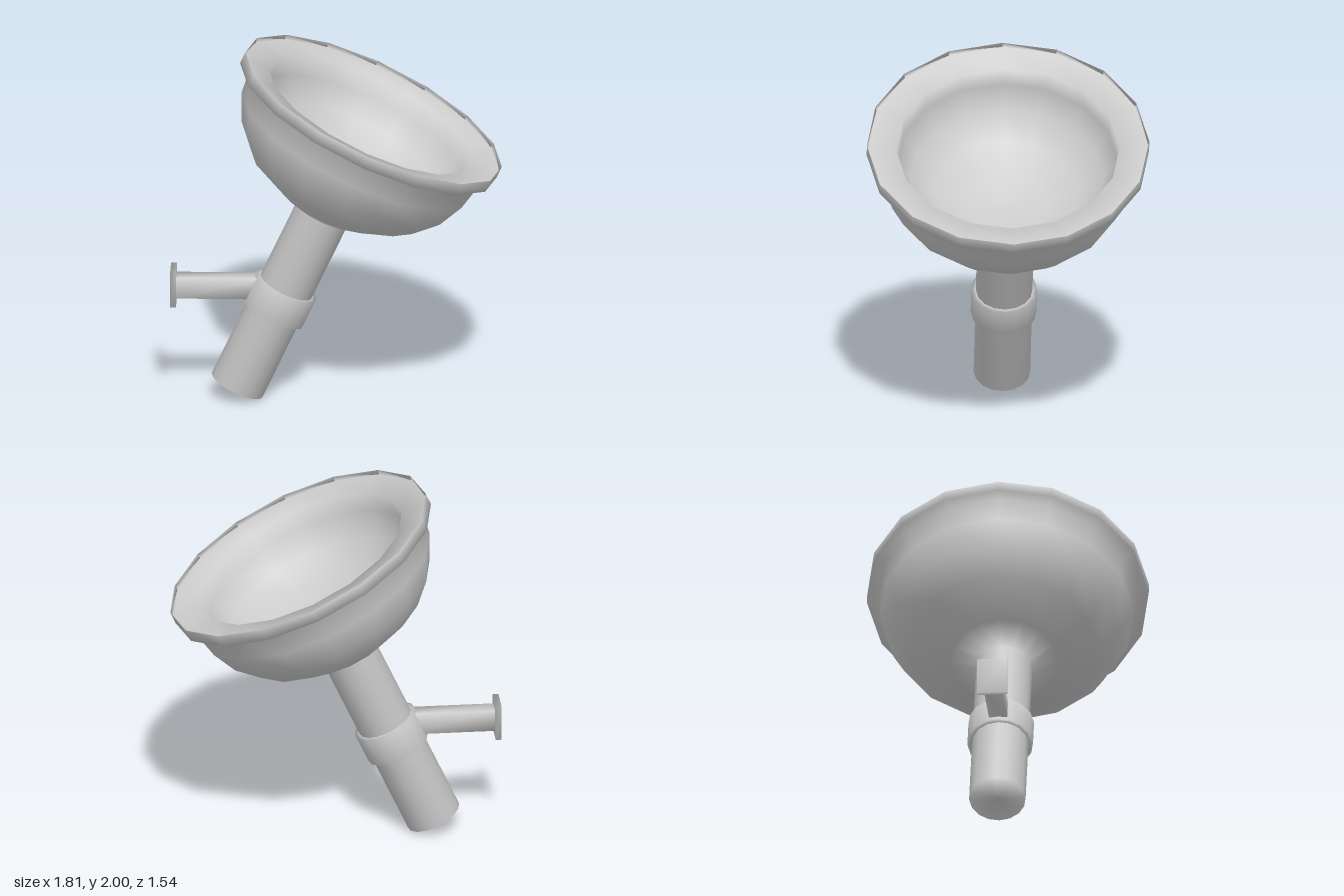
import * as THREE from 'three';
import { mergeVertices } from 'three/addons/utils/BufferGeometryUtils.js';

const material = new THREE.MeshStandardMaterial({ color: 0xcccccc, side: THREE.DoubleSide });

function addMesh(parent, name, geometry) {
  const mesh = new THREE.Mesh(geometry, material);
  mesh.name = name;
  parent.add(mesh);
  return mesh;
}

// Smooth solid of revolution from [radius, height] pairs
function lathe(profile) {
  return new THREE.LatheGeometry(profile.map(([r, h]) => new THREE.Vector2(r, h)), 16);
}

// Box whose corners share their normals, so it shades softly
function softBox(width, height, depth) {
  const box = new THREE.BoxGeometry(width, height, depth);
  box.deleteAttribute('normal');
  box.deleteAttribute('uv');
  const soft = mergeVertices(box);
  soft.computeVertexNormals();
  return soft;
}

export function createModel() {
  const model = new THREE.Group();
  model.name = 'tiltedBowlOnStem';

  // Everything turned about the leaning axis
  const tilted = new THREE.Group();
  tilted.name = 'tiltedBody';
  tilted.position.set(-0.54, 0.067, 0);
  tilted.rotation.z = -0.434;
  model.add(tilted);

  // Stem flowing into the bowl: outer wall, rim with a small lip, dished inside
  addMesh(tilted, 'stemAndBowl', lathe([
    [0, 0], [0.155, 0], [0.155, 1.1],
    [0.30, 1.16], [0.508, 1.27], [0.625, 1.40], [0.693, 1.55], [0.71, 1.70],
    [0.772, 1.70], [0.772, 1.77], [0.765, 1.745], [0.61, 1.73],
    [0.605, 1.62], [0.53, 1.50], [0.40, 1.39], [0.21, 1.315], [0, 1.295],
  ]));

  // Collar round the stem
  addMesh(tilted, 'collar', lathe([
    [0.15, 0.465], [0.18, 0.465], [0.18, 0.635], [0.15, 0.635],
  ]));

  // Horizontal bracket arm with its end plate
  const arm = addMesh(model, 'bracketArm', softBox(0.48, 0.12, 0.1));
  arm.position.set(-0.64, 0.64, 0);
  const plate = addMesh(model, 'bracketEndPlate', softBox(0.032, 0.2, 0.165));
  plate.position.set(-0.889, 0.64, 0);

  return model;
}
